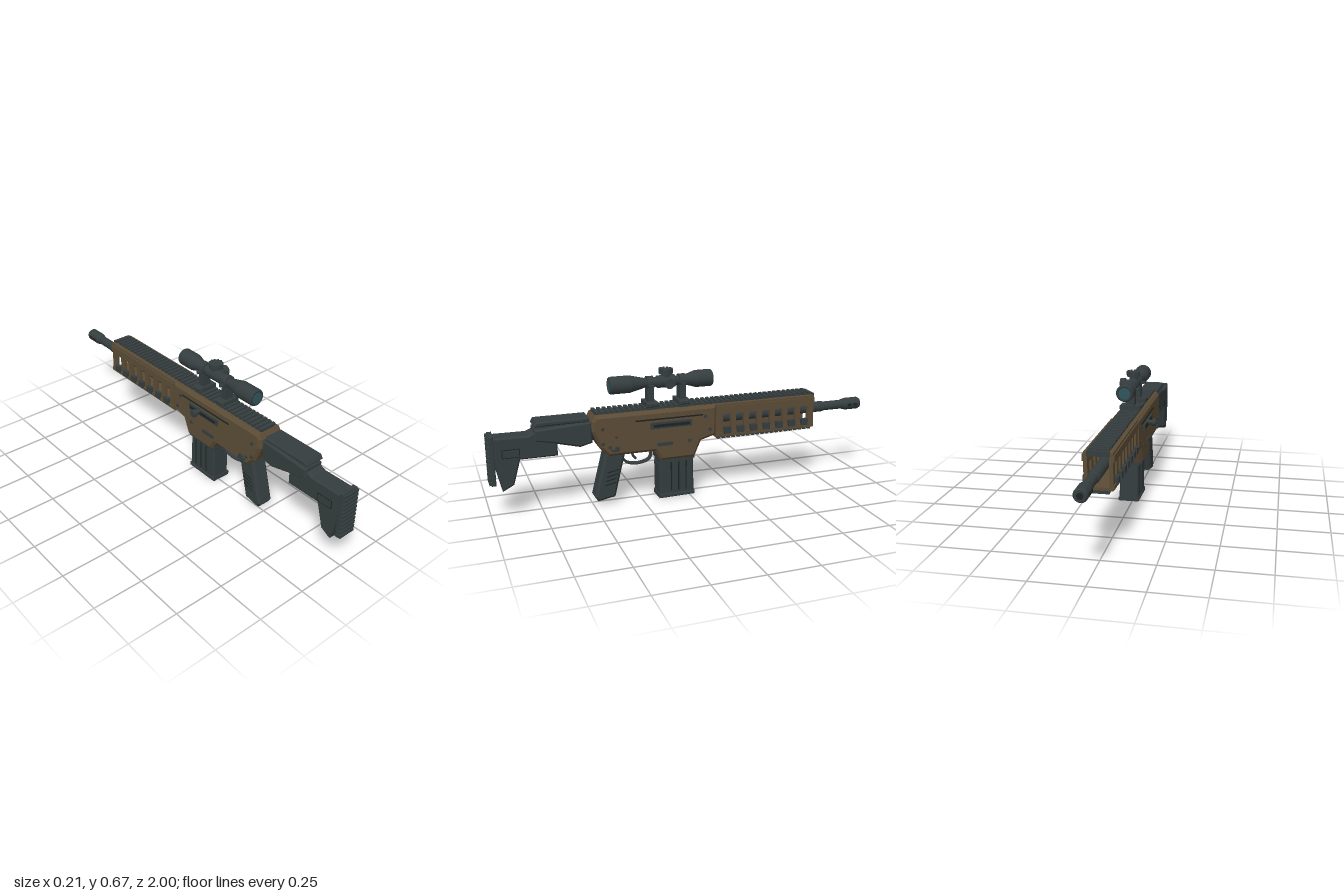
import * as THREE from 'three';

const mat = (name, color) => { const m = new THREE.MeshStandardMaterial({ color }); m.name = name; return m; };

export function createModel() {
  const metal = mat('gunmetal', 0x353d3e), tan = mat('tan', 0x5c4c36);
  const black = mat('black', 0x1d2222), glass = mat('lens teal', 0x2f565e);
  const root = new THREE.Group();
  const model = new THREE.Group();
  model.name = 'rifle';
  model.position.x = 0.017;
  root.add(model);

  const add = (name, geo, m, x = 0, y = 0, z = 0) => {
    const mesh = new THREE.Mesh(geo, m);
    mesh.name = name;
    mesh.position.set(x, y, z);
    model.add(mesh);
    return mesh;
  };
  // box from ranges along y and z, centred on x
  const box = (name, m, w, y0, y1, z0, z1, x = 0) =>
    add(name, new THREE.BoxGeometry(w, y1 - y0, Math.abs(z1 - z0)), m, x, (y0 + y1) / 2, (z0 + z1) / 2);
  // side profile of [z, y] points, extruded across x with chamfered edges
  const slab = (name, m, pts, w, bevel = 0.01, x = 0, holes = []) => {
    const shape = new THREE.Shape(pts.map(p => new THREE.Vector2(...p)));
    holes.forEach(h => shape.holes.push(new THREE.Path(h.map(p => new THREE.Vector2(...p)))));
    const geo = new THREE.ExtrudeGeometry(shape, {
      depth: w - 2 * bevel, bevelEnabled: bevel > 0, bevelSize: bevel,
      bevelOffset: -bevel, bevelThickness: bevel, bevelSegments: 1,
    });
    geo.translate(0, 0, -(w - 2 * bevel) / 2).rotateY(-Math.PI / 2);
    return add(name, geo, m, x);
  };
  const rect = (z0, z1, y0, y1) => [[z0, y0], [z1, y0], [z1, y1], [z0, y1]];
  // sharp-edged turned part along z, from [radius, z] points in rising z
  const turned = (name, m, pts, y) => {
    for (let i = 0; i < pts.length - 1; i++) {
      const [r0, z0] = pts[i], [r1, z1] = pts[i + 1];
      if (z0 === z1) continue;
      const geo = new THREE.CylinderGeometry(r1, r0, z1 - z0, 24).rotateX(Math.PI / 2);
      add(name, geo, m, 0, y, (z0 + z1) / 2);
    }
  };
  // pin or knob along x
  const pin = (name, m, r, x0, x1, y, z, n = 16) =>
    add(name, new THREE.CylinderGeometry(r, r, Math.abs(x1 - x0), n).rotateZ(Math.PI / 2), m, (x0 + x1) / 2, y, z);

  // receiver
  slab('receiver', tan, [[0.49, 0.472], [0.505, 0.445], [0.505, 0.395], [0.468, 0.305], [0.425, 0.262],
    [0.19, 0.262], [0.16, 0.21], [-0.02, 0.21], [-0.056, 0.292], [-0.137, 0.315], [-0.137, 0.472]], 0.145, 0.014);
  for (const s of [-1, 1]) {
    const sx = s * 0.072;
    box('sidePort', metal, 0.018, 0.382, 0.414, 0, 0.215, sx);
    box('portSlit', black, 0.004, 0.39, 0.404, 0.01, 0.2, s * 0.0805);
    box('upperSlit', black, 0.006, 0.426, 0.433, -0.06, 0.29, sx);
    box('magazineRelease', metal, 0.014, 0.29, 0.307, 0.1, 0.18, sx);
    for (const [z, y] of [[0.455, 0.405], [0.42, 0.31], [0.01, 0.303], [-0.075, 0.42], [0.455, 0.33], [-0.1, 0.35]])
      pin('receiverPin', metal, 0.009, s * 0.068, s * 0.077, y, z, 10);
    pin('selectorHub', metal, 0.012, s * 0.068, s * 0.083, 0.3, 0.385);
    box('selectorLever', metal, 0.008, 0.288, 0.3, 0.375, 0.415, s * 0.081);
  }
  pin('chargingHandleShaft', metal, 0.012, -0.065, -0.108, 0.406, 0.08);
  pin('chargingHandleKnob', metal, 0.019, -0.106, -0.124, 0.406, 0.08);
  pin('sidePeg', metal, 0.006, 0.07, 0.088, 0.36, 0.39, 8);

  // handguard with window cut-outs
  const windows = [];
  for (let i = 0; i < 7; i++) {
    const z = -0.195 - i * 0.073;
    windows.push(rect(z - 0.022, z + 0.022, 0.345, 0.418));
    for (const s of [-1, 1]) box('sideRailBlock', metal, 0.02, 0.318, 0.352, z - 0.019, z + 0.019, s * 0.07);
  }
  for (const s of [-1, 1]) {
    slab('handguardWall', tan, rect(-0.69, -0.135, 0.3, 0.472), 0.018, 0, s * 0.057, windows);
    box('handguardUpperBand', tan, 0.012, 0.43, 0.462, -0.69, -0.135, s * 0.066);
    box('handguardLowerBand', tan, 0.01, 0.305, 0.325, -0.69, -0.135, s * 0.066);
  }
  box('handguardRoof', tan, 0.1, 0.455, 0.472, -0.69, -0.135);
  box('handguardFloor', tan, 0.1, 0.3, 0.315, -0.69, -0.135);

  // toothed top and bottom rails
  box('topRail', metal, 0.08, 0.468, 0.477, -0.69, 0.485);
  for (let i = 0; i < 43; i++) {
    const z = 0.475 - i * 0.0273;
    box('topRailTooth', metal, 0.095, 0.474, 0.486, z - 0.008, z + 0.008);
  }
  box('bottomRail', metal, 0.08, 0.293, 0.302, -0.69, -0.15);
  for (let i = 0; i < 20; i++) {
    const z = -0.16 - i * 0.0273;
    box('bottomRailTooth', metal, 0.095, 0.284, 0.296, z - 0.008, z + 0.008);
  }
  box('railEndStop', metal, 0.1, 0.455, 0.48, -0.697, -0.685);

  // barrel and muzzle
  turned('barrel', metal, [[0.024, -0.92], [0.024, -0.78], [0.028, -0.775], [0.029, -0.1]], 0.388);
  turned('muzzle', metal, [[0.026, -1], [0.032, -0.99], [0.032, -0.915], [0.025, -0.89]], 0.388);
  add('muzzleBore', new THREE.CircleGeometry(0.015, 20).rotateY(Math.PI), black, 0, 0.388, -1.0005);
  for (const s of [-1, 1]) for (const z of [-0.93, -0.965])
    box('muzzleSlot', black, 0.006, 0.381, 0.395, z - 0.011, z + 0.011, s * 0.03);

  // stock
  slab('stockFront', metal, [[0.78, 0.43], [0.5, 0.445], [0.5, 0.335], [0.56, 0.32], [0.68, 0.35], [0.78, 0.37]], 0.108, 0.01);
  slab('cheekRest', metal, [[0.78, 0.448], [0.77, 0.466], [0.517, 0.466], [0.517, 0.443], [0.78, 0.443]], 0.108, 0.006);
  box('cheekRestSpacer', metal, 0.085, 0.42, 0.45, 0.53, 0.77);
  slab('stockRear', metal, [[0.975, 0.405], [0.81, 0.403], [0.77, 0.42], [0.67, 0.42], [0.67, 0.288], [0.85, 0.288],
    [0.885, 0.165], [0.94, 0.136], [0.975, 0.29]], 0.094, 0.008);
  for (const s of [-1, 1]) {
    box('stockPanel', black, 0.003, 0.302, 0.346, 0.85, 0.935, s * 0.0465);
    box('stockPanelFace', metal, 0.004, 0.306, 0.342, 0.854, 0.931, s * 0.0468);
  }
  slab('buttPad', metal, rect(0.968, 0.99, 0.17, 0.415), 0.094, 0.004);
  for (let i = 0; i < 11; i++) {
    const y = 0.182 + i * 0.022;
    box('buttPadRidge', metal, 0.09, y - 0.007, y + 0.007, 0.985, 1);
  }
  box('stockJoint', black, 0.07, 0.345, 0.44, 0.49, 0.53);

  // pistol grip
  slab('grip', metal, [[0.436, 0.275], [0.33, 0.275], [0.342, 0.235], [0.39, 0.037], [0.478, 0.02], [0.495, 0.045]], 0.088, 0.012);
  for (const s of [-1, 1]) for (let i = 0; i < 4; i++) {
    const b = box('gripGroove', black, 0.004, 0.107 + i * 0.022, 0.112 + i * 0.022, 0.385 - i * 0.005, 0.445 - i * 0.005, s * 0.0435);
    b.rotation.x = 0.2;
  }

  // trigger and guard
  const path = (...p) => new THREE.CatmullRomCurve3(p.map(([z, y]) => new THREE.Vector3(0, y, z)));
  const guard = add('triggerGuard', new THREE.TubeGeometry(
    path([0.345, 0.225], [0.315, 0.198], [0.25, 0.19], [0.2, 0.21], [0.188, 0.265]), 24, 0.007, 6), metal);
  guard.scale.x = 2.5;
  add('trigger', new THREE.TubeGeometry(path([0.285, 0.27], [0.29, 0.24], [0.272, 0.212]), 10, 0.007, 6), metal);

  // magazine with side ribs
  slab('magazine', metal, [[0.16, 0.225], [-0.018, 0.225], [-0.024, 0.012], [0.158, 0.012]], 0.1, 0.008);
  slab('magazineBase', metal, [[0.163, 0.022], [-0.027, 0.022], [-0.027, 0.003], [0.163, 0]], 0.108, 0.004);
  box('magazineCollar', metal, 0.112, 0.2, 0.215, -0.022, 0.163);
  for (const s of [-1, 1]) {
    for (const z of [0.02, 0.06, 0.1]) box('magazineGroove', black, 0.003, 0.035, 0.19, z - 0.003, z + 0.003, s * 0.0495);
    for (const z of [0.04, 0.08]) box('magazineRib', metal, 0.006, 0.035, 0.19, z - 0.013, z + 0.013, s * 0.05);
  }
  box('magazineBackPanel', metal, 0.075, 0.045, 0.18, 0.155, 0.163);

  // scope
  const sy = 0.6;
  turned('scopeBody', metal, [[0.04, -0.13], [0.043, -0.124], [0.043, -0.045], [0.024, 0.015], [0.024, 0.06],
    [0.031, 0.065], [0.031, 0.155], [0.024, 0.16], [0.024, 0.22], [0.041, 0.29], [0.043, 0.295], [0.043, 0.392], [0.04, 0.4]], sy);
  for (const [z, ry] of [[0.4, 0], [-0.13, Math.PI]]) {
    add('scopeRim', new THREE.TorusGeometry(0.035, 0.006, 8, 28), metal, 0, sy, z + (ry ? 0.004 : -0.004));
    add('scopeLens', new THREE.CircleGeometry(0.029, 28).rotateY(ry), glass, 0, sy, z + (ry ? -0.001 : 0.001));
  }
  add('topTurretBase', new THREE.CylinderGeometry(0.022, 0.022, 0.03, 20), metal, 0, 0.632, 0.11);
  add('topTurret', new THREE.CylinderGeometry(0.034, 0.034, 0.024, 20), metal, 0, 0.65, 0.11);
  for (let i = 0; i < 12; i++) {
    const a = i * Math.PI / 6;
    const t = add('turretTooth', new THREE.BoxGeometry(0.008, 0.022, 0.008), metal, 0.032 * Math.cos(a), 0.654, 0.11 + 0.032 * Math.sin(a));
    t.rotation.y = -a;
  }
  pin('sideTurretNeck', metal, 0.018, 0.02, 0.045, sy, 0.11);
  pin('sideTurret', metal, 0.025, 0.042, 0.069, sy, 0.11, 20);

  // scope mounts
  for (const z of [0.195, 0.028]) {
    add('scopeRing', new THREE.CylinderGeometry(0.032, 0.032, 0.034, 20).rotateX(Math.PI / 2), metal, 0, sy, z);
    box('mountPost', metal, 0.048, 0.5, 0.59, z - 0.016, z + 0.016);
    slab('mountClamp', metal, rect(z - 0.03, z + 0.03, 0.485, 0.508), 0.106, 0.005);
    box('mountFoot', metal, 0.09, 0.47, 0.49, z - 0.022, z + 0.022);
    for (const s of [-1, 1]) {
      box('ringFlange', metal, 0.012, 0.583, 0.594, z - 0.014, z + 0.014, s * 0.036);
      pin('ringScrew', metal, 0.006, s * 0.03, s * 0.048, 0.588, z, 8);
    }
  }
  return root;
}
